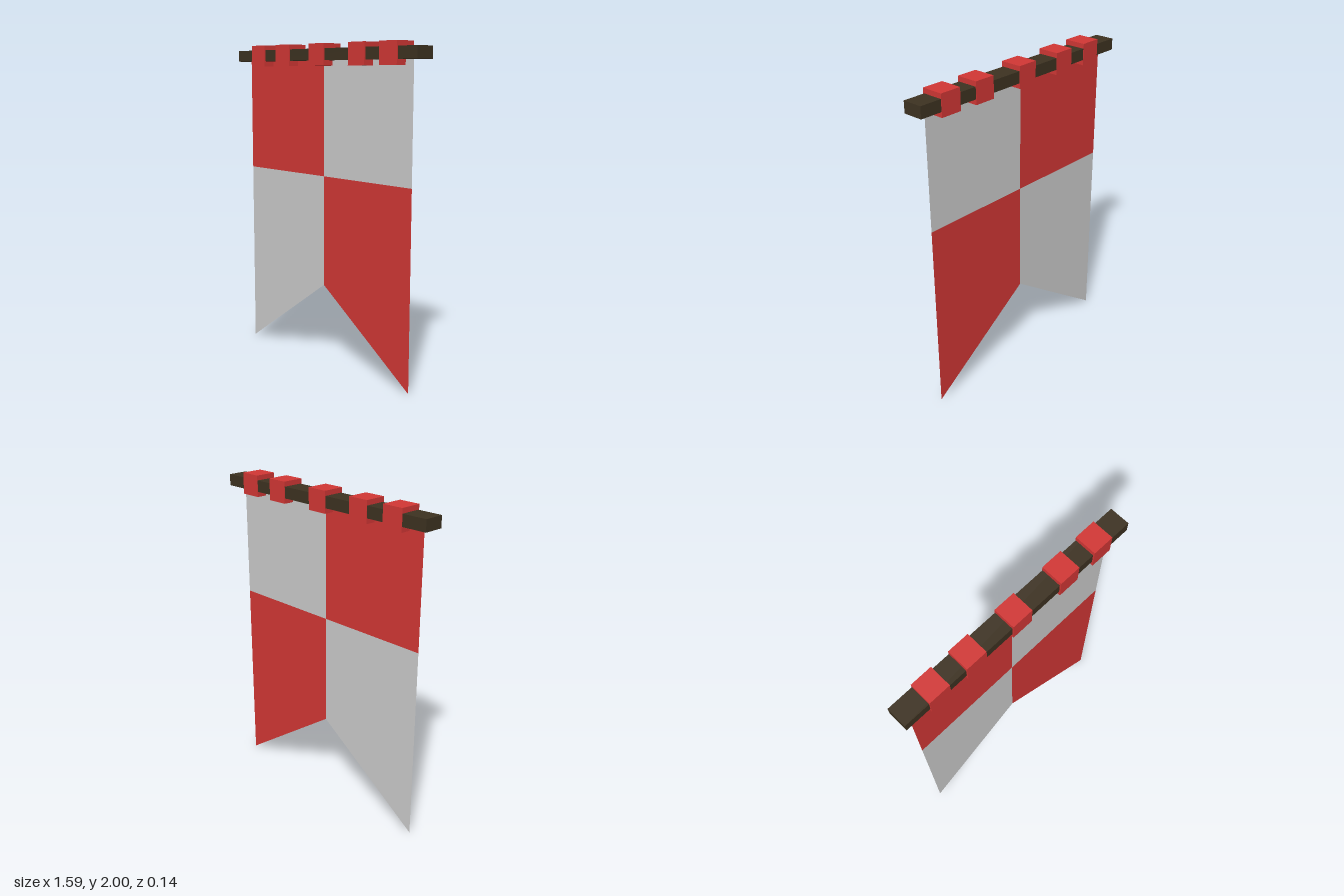
import * as THREE from 'three';

const material = (color, side = THREE.FrontSide) =>
  new THREE.MeshStandardMaterial({ color, side, flatShading: true });

const RED = 0xd23735, GREY = 0xcccccc, WOOD = 0x3d3221;

export function createModel() {
  const group = new THREE.Group();
  const add = (name, geometry, mat, x = 0, y = 0, z = 0) => {
    const mesh = new THREE.Mesh(geometry, mat);
    mesh.name = name;
    mesh.position.set(x, y, z);
    group.add(mesh);
  };

  // Flat cloth in four panels, with a swallowtail cut at the bottom
  const left = -0.74, mid = -0.012, right = 0.717;
  const top = 1.93, seam = 1.195, notch = 0.503, clothZ = -0.003;
  const red = material(RED, THREE.DoubleSide);
  const grey = material(GREY, THREE.DoubleSide);
  const panel = (name, mat, corners) => {
    const shape = new THREE.Shape(corners.map(([x, y]) => new THREE.Vector2(x, y)));
    add(name, new THREE.ShapeGeometry(shape), mat, 0, 0, clothZ);
  };
  panel('upperRightPanel', red, [[left, seam], [mid, seam], [mid, top], [left, top]]);
  panel('upperLeftPanel', grey, [[mid, seam], [right, seam], [right, top], [mid, top]]);
  panel('lowerRightPanel', grey, [[left, 0], [mid, notch], [mid, seam], [left, seam]]);
  panel('lowerLeftPanel', red, [[mid, notch], [right, 0], [right, seam], [mid, seam]]);

  // Square crossbar
  add('crossbar', new THREE.BoxGeometry(1.593, 0.07, 0.125), material(WOOD), -0.002, 1.935, -0.003);

  // Cloth loops around the crossbar
  const loopGeometry = new THREE.BoxGeometry(0.134, 0.132, 0.136);
  const loopMaterial = material(RED);
  [-0.573, -0.324, -0.003, 0.34, 0.589].forEach((x, i) =>
    add(`hangingLoop${i + 1}`, loopGeometry, loopMaterial, x, 1.934, 0));

  return group;
}
